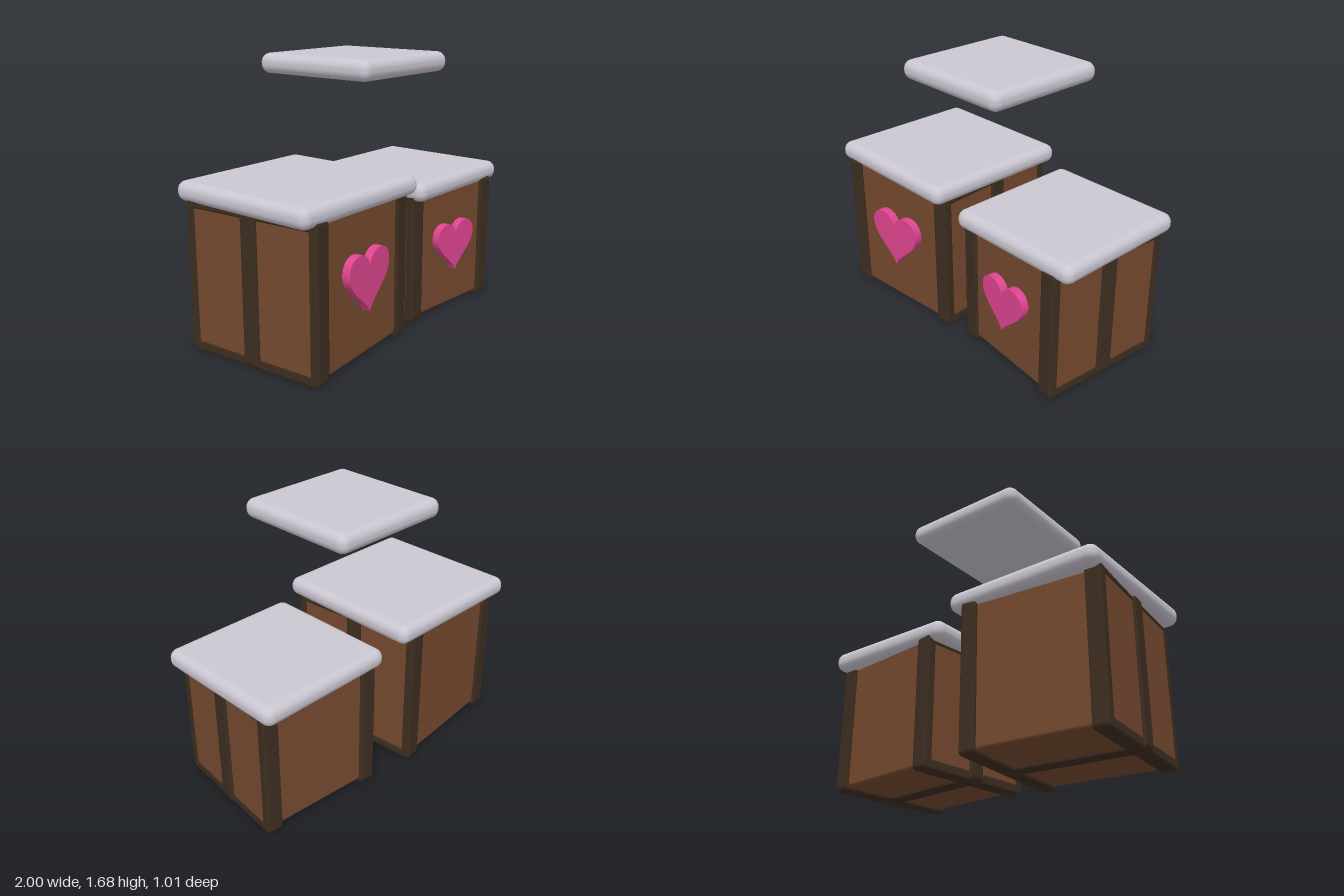
import * as THREE from 'three';
import { RoundedBoxGeometry } from 'three/addons/geometries/RoundedBoxGeometry.js';

const material = (name, color) => {
  const m = new THREE.MeshStandardMaterial({ color });
  m.name = name;
  return m;
};

function roundedSquare(target, size, r) {
  const h = size / 2;
  target.moveTo(-h + r, -h);
  target.lineTo(h - r, -h);
  target.quadraticCurveTo(h, -h, h, -h + r);
  target.lineTo(h, h - r);
  target.quadraticCurveTo(h, h, h - r, h);
  target.lineTo(-h + r, h);
  target.quadraticCurveTo(-h, h, -h, h - r);
  target.lineTo(-h, -h + r);
  target.quadraticCurveTo(-h, -h, -h + r, -h);
  return target;
}

// Square hoop around the z axis, centred on the origin, with bevelled edges
function bandGeometry(outer, inner, width) {
  const bevel = 0.01;
  const shape = roundedSquare(new THREE.Shape(), outer - 2 * bevel, 0.018);
  shape.holes.push(roundedSquare(new THREE.Path(), inner, 0.01));
  const depth = width - 2 * bevel;
  return new THREE.ExtrudeGeometry(shape, {
    depth, bevelEnabled: true, bevelSize: bevel, bevelThickness: bevel, bevelSegments: 2, curveSegments: 4,
  }).translate(0, 0, -depth / 2);
}

// Heart of width 0.4, tip at y = -0.18, lobes at y = 0.175
function heartGeometry(depth) {
  const s = new THREE.Shape();
  s.moveTo(0, -0.18);
  s.bezierCurveTo(0.035, -0.1, 0.2, -0.03, 0.2, 0.075);
  s.bezierCurveTo(0.2, 0.14, 0.155, 0.175, 0.105, 0.175);
  s.bezierCurveTo(0.05, 0.175, 0.015, 0.145, 0, 0.095);
  s.bezierCurveTo(-0.015, 0.145, -0.05, 0.175, -0.105, 0.175);
  s.bezierCurveTo(-0.155, 0.175, -0.2, 0.14, -0.2, 0.075);
  s.bezierCurveTo(-0.2, -0.03, -0.035, -0.1, 0, -0.18);
  return new THREE.ExtrudeGeometry(s, { depth, bevelEnabled: false, curveSegments: 14 });
}

export function createModel() {
  const wood = material('brown wood', 0x75492f);
  const dark = material('dark band', 0x3d2d20);
  const frost = material('pale lid', 0xcbc7d2);
  const pink = material('pink heart', 0xdf4590);
  const model = new THREE.Group();
  model.name = 'crates';

  const add = (parent, name, geometry, mat, x = 0, y = 0, z = 0) => {
    const mesh = new THREE.Mesh(geometry, mat);
    mesh.name = name;
    mesh.position.set(x, y, z);
    parent.add(mesh);
    return mesh;
  };

  const addLid = (name, size, x, y, z) =>
    add(model, name, new RoundedBoxGeometry(size, 0.12, size, 5, 0.055), frost, x, y, z);

  // Cube crate with two edge bands, one middle band and a heart
  function addCrate(name, size, x, turn, heartScale, heartY) {
    const crate = new THREE.Group();
    crate.name = name;
    const proud = 0.02;
    const mid = size / 2 + proud;
    add(crate, 'body', new RoundedBoxGeometry(size, size, size, 3, 0.02), wood, 0, mid, 0);

    const edgeBand = bandGeometry(size + 2 * proud, size - 0.06, 0.1).rotateY(Math.PI / 2);
    for (const side of [-1, 1]) {
      add(crate, side > 0 ? 'leftBand' : 'rightBand', edgeBand, dark, side * (size / 2 - 0.047), mid, 0);
    }
    add(crate, 'middleBand', bandGeometry(size + 0.034, size - 0.06, 0.105), dark, 0, mid, 0);

    const heart = add(crate, 'heart', heartGeometry(0.06), pink, 0, heartY, size / 2 - 0.01);
    heart.scale.set(heartScale, heartScale, 1);
    crate.position.set(x, 0, -0.005);
    crate.rotation.y = turn;
    model.add(crate);
  }

  addCrate('largeCrate', 0.88, -0.505, 0.087, 1, 0.48);
  addCrate('smallCrate', 0.79, 0.54, -0.09, 0.9, 0.43);

  addLid('largeLid', 1.0, -0.5, 0.945, -0.01);
  addLid('smallLid', 0.9, 0.55, 0.85, -0.01);
  addLid('floatingLid', 0.815, 0, 1.625, -0.005);
  return model;
}
